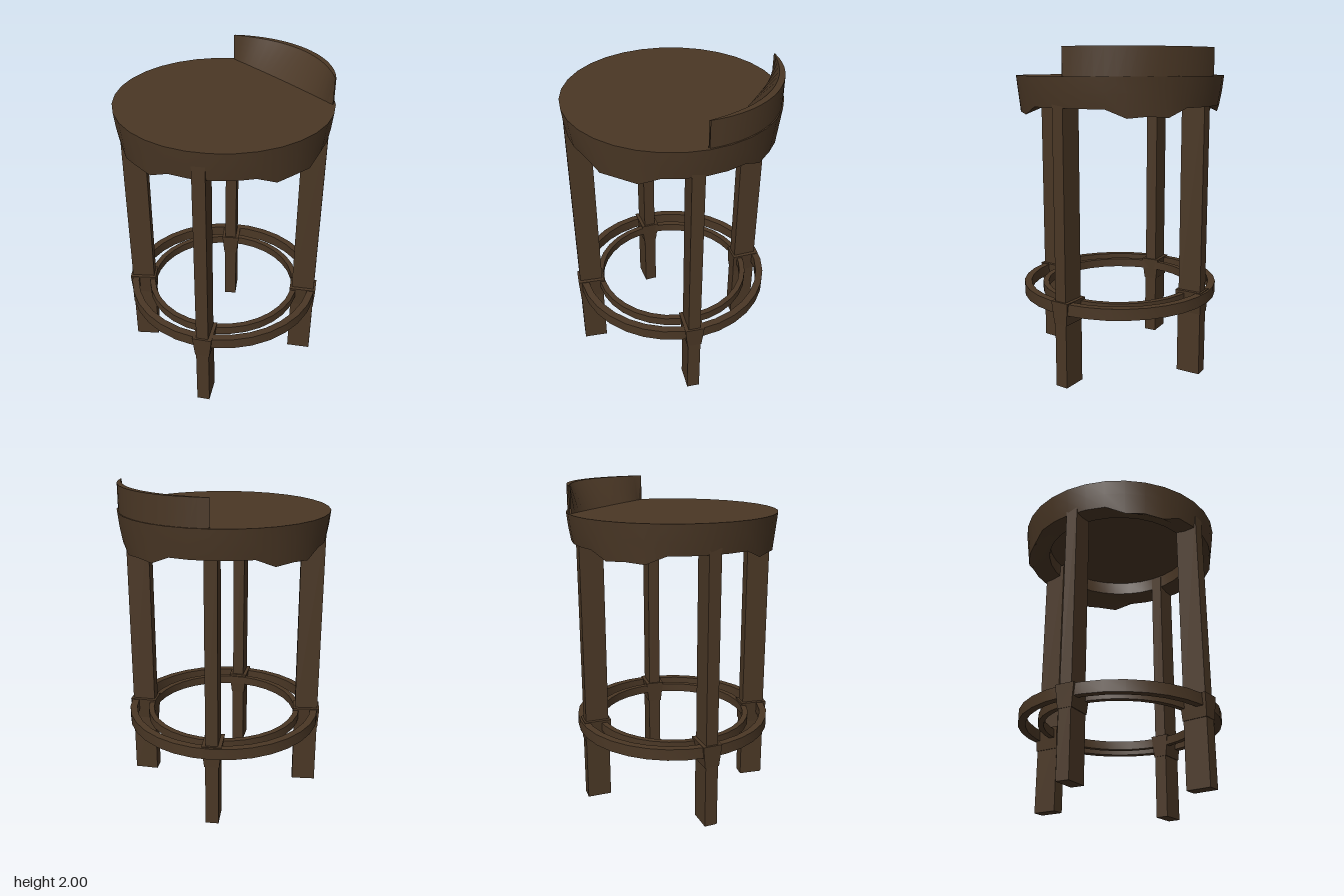
import * as THREE from 'three';
import { toCreasedNormals } from 'three/addons/utils/BufferGeometryUtils.js';

const SEGMENTS = 32;

export function createModel() {
  const wood = new THREE.MeshStandardMaterial({ color: 0x4a3725, side: THREE.DoubleSide });
  wood.name = 'dark brown wood';
  const model = new THREE.Group();
  model.name = 'stool';

  const add = (parent, name, geometry, x = 0, y = 0, z = 0) => {
    const mesh = new THREE.Mesh(toCreasedNormals(geometry, 0.6), wood);
    mesh.name = name;
    mesh.position.set(x, y, z);
    parent.add(mesh);
    return mesh;
  };
  const lathe = (pairs) =>
    new THREE.LatheGeometry(pairs.map(([r, y]) => new THREE.Vector2(r, y)), SEGMENTS);

  // Round seat, hollow below, with a jagged lower edge that hangs between the legs
  const seat = lathe([[0, 1.77], [0.48, 1.77], [0.48, 1.68], [0.55, 1.665], [0.615, 1.665],
    [0.63, 1.75], [0.64, 1.84], [0, 1.84]]);
  const pos = seat.attributes.position;
  for (let i = 0; i <= SEGMENTS; i++) {
    const hang = Math.max(0, Math.cos((i / SEGMENTS) * Math.PI * 8));
    const drop = hang * (i % 2 ? 0.07 : 0.04);
    const edge = i * 8 + 4;
    pos.setY(edge, pos.getY(edge) - drop);
  }
  add(model, 'seat', seat);

  // Low back: curved outer wall, thin rim, and a front face that sweeps up from a straight chord
  const sections = 16;
  const points = [];
  const index = [];
  for (let i = 0; i <= sections; i++) {
    const a = (i / sections - 0.5) * Math.PI / 2;
    const x = 0.625 * Math.sin(a);
    const z = -0.632 * Math.cos(a);
    const inner = -0.44 - 0.155 * (1 - (x / 0.442) ** 2);
    points.push(x, 1.8, z, x, 2, z, x, 2, inner, x, 1.83, -0.44);
    if (i < sections) {
      for (let j = 0; j < 3; j++) {
        const p = i * 4 + j;
        index.push(p, p + 1, p + 4, p + 1, p + 5, p + 4);
      }
    }
  }
  const back = new THREE.BufferGeometry();
  back.setAttribute('position', new THREE.Float32BufferAttribute(points, 3));
  back.setIndex(index);
  add(model, 'backrest', back);

  // Four flat, slightly uneven legs set edge-on to the centre, each with a collar at the foot ring
  const legs = {
    frontLeftLeg: [0.35, 0.43],
    frontRightLeg: [-0.37, 0.4],
    backLeftLeg: [0.41, -0.355],
    backRightLeg: [-0.365, -0.37],
  };
  for (const [name, [x, z]] of Object.entries(legs)) {
    const leg = new THREE.Group();
    leg.name = name;
    leg.position.set(x, 0, z);
    leg.rotation.y = -Math.atan2(z, x);
    add(leg, 'upperLeg', new THREE.BoxGeometry(0.145, 1.27, 0.075), 0, 1.125, 0);
    add(leg, 'lowerLeg', new THREE.BoxGeometry(0.15, 0.49, 0.08), 0, 0.25, 0);
    const collar = new THREE.BoxGeometry(0.17, 0.14, 0.12);
    const c = collar.attributes.position;
    for (let k = 0; k < c.count; k++) {
      if (c.getY(k) < 0) c.setXYZ(k, c.getX(k) * 0.92, c.getY(k), c.getZ(k) * 0.75);
    }
    add(leg, 'collar', collar, 0, 0.47, 0);
    model.add(leg);
  }

  // Foot ring made of two hoops
  const hoop = (inner, outer, low, high) =>
    lathe([[inner, low], [outer, low], [outer, high], [inner, high], [inner, low]]);
  add(model, 'outerHoop', hoop(0.575, 0.62, 0.465, 0.535));
  add(model, 'innerHoop', hoop(0.465, 0.5, 0.47, 0.525));

  return model;
}
